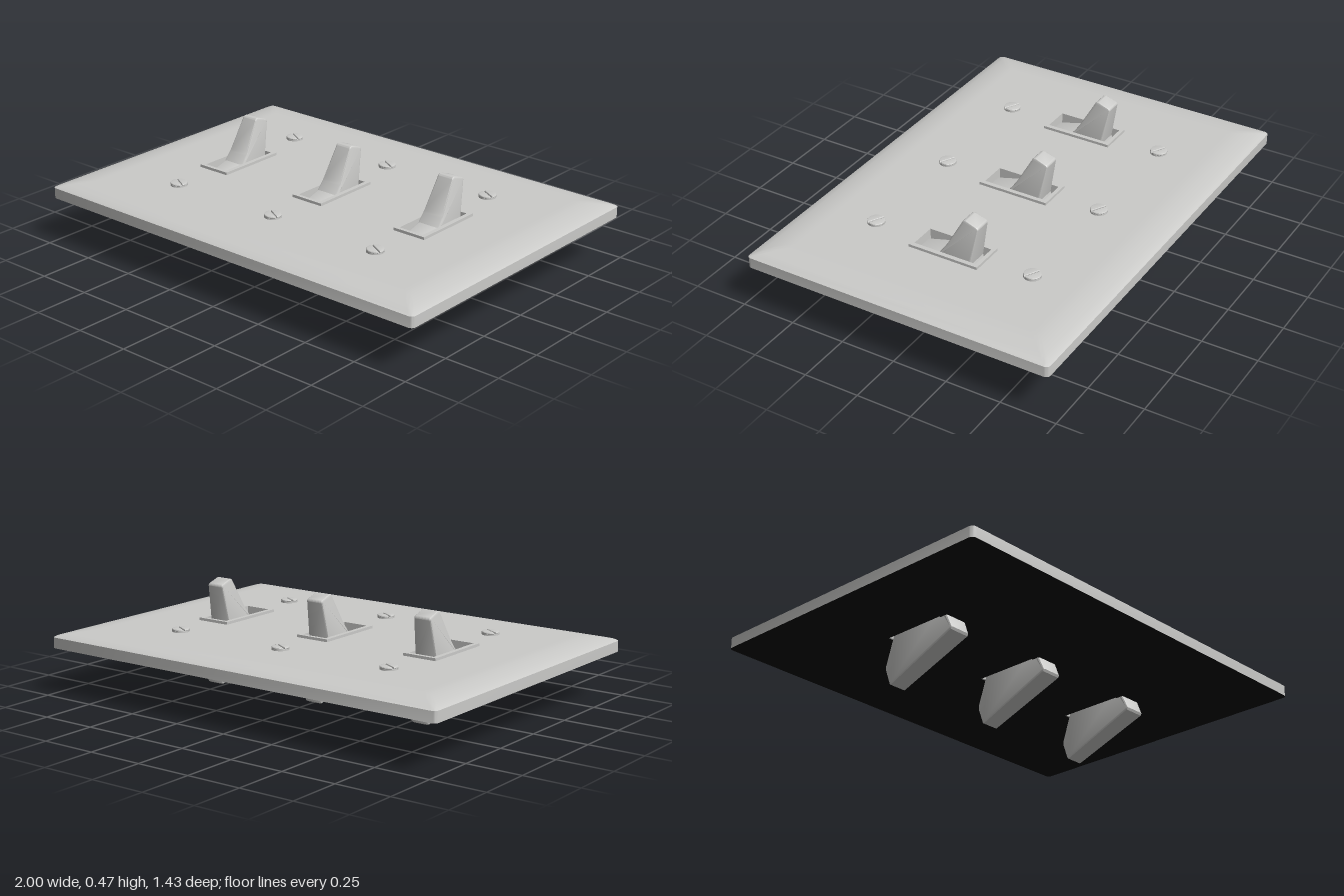
import * as THREE from 'three';
import { toCreasedNormals } from 'three/addons/utils/BufferGeometryUtils.js';

const BASE = 0.205, TOP = 0.28;
const COLUMNS = [-0.553, -0.002, 0.549];
const HOLE_X = 0.06, HOLE_Z = 0.148;

function rect(Type, cx, w, d) {
  return new Type().moveTo(cx - w, -d).lineTo(cx + w, -d).lineTo(cx + w, d).lineTo(cx - w, d).closePath();
}

// Rounded rectangle outline, inset from the plate edge
function outline(inset) {
  const r = 0.02, pts = [];
  const cx = 1 - r - inset, cz = 0.713 - r - inset;
  [[1, 1], [-1, 1], [-1, -1], [1, -1]].forEach(([sx, sz], q) => {
    for (let i = 0; i <= 4; i++) {
      const a = (q + i / 4) * Math.PI / 2;
      pts.push(new THREE.Vector2(sx * cx + r * Math.cos(a), sz * cz + r * Math.sin(a)));
    }
  });
  return pts;
}

// Plate rim and softly domed border, lofted through inset outlines
function rimGeometry(levels) {
  const pos = [], index = [];
  const n = outline(0).length;
  for (const [inset, y] of levels) for (const p of outline(inset)) pos.push(p.x, y, p.y);
  for (let k = 0; k < levels.length - 1; k++) {
    for (let i = 0; i < n; i++) {
      const a = k * n + i, b = k * n + (i + 1) % n;
      index.push(a, a + n, b, b, a + n, b + n);
    }
  }
  const g = new THREE.BufferGeometry();
  g.setAttribute('position', new THREE.Float32BufferAttribute(pos, 3));
  g.setIndex(index);
  return toCreasedNormals(g, 0.6);
}

// Flat sheet with the three switch openings
function sheet(inset, up) {
  const shape = new THREE.Shape(outline(inset));
  for (const x of COLUMNS) shape.holes.push(rect(THREE.Path, x, HOLE_X, HOLE_Z));
  return new THREE.ShapeGeometry(shape).rotateX(up ? -Math.PI / 2 : Math.PI / 2);
}

// Side profile (z, y) extruded across x, with its width varying with height
function taperedSolid(shape, halfWidth) {
  const b = 0.008, w = 0.055;
  const g = new THREE.ExtrudeGeometry(shape, {
    depth: 2 * (w - b), bevelEnabled: true, bevelSize: b, bevelThickness: b,
    bevelOffset: -b, bevelSegments: 2, curveSegments: 8,
  });
  g.translate(0, 0, -(w - b)).rotateY(-Math.PI / 2);
  const p = g.attributes.position;
  for (let i = 0; i < p.count; i++) p.setX(i, p.getX(i) * halfWidth(p.getY(i)) / w);
  return toCreasedNormals(g, 0.5);
}

export function createModel() {
  const model = new THREE.Group();
  model.name = 'tripleSwitchPlate';
  const grey = new THREE.MeshStandardMaterial({ color: 0xcbcbc9 });
  grey.name = 'lightGrey';
  const black = new THREE.MeshStandardMaterial({ color: 0x050505 });
  black.name = 'black';

  const add = (parent, name, geometry, material = grey) => {
    const mesh = new THREE.Mesh(geometry, material);
    mesh.name = name;
    parent.add(mesh);
    return mesh;
  };

  // Wall plate
  const plate = new THREE.Group();
  plate.name = 'plate';
  model.add(plate);
  add(plate, 'plateRim', rimGeometry([
    [0, BASE], [0, 0.253], [0.012, 0.26], [0.04, 0.268], [0.075, 0.275], [0.11, 0.279], [0.13, TOP], [0.15, TOP],
  ]));
  add(plate, 'plateFace', sheet(0.15, true)).position.y = TOP;
  add(plate, 'plateUnderside', sheet(0, false), black).position.y = BASE;

  // Raised opening frame, reaching down through the plate
  const frameShape = rect(THREE.Shape, 0, 0.08, 0.165);
  frameShape.holes.push(rect(THREE.Path, 0, HOLE_X, HOLE_Z));
  const frameGeo = new THREE.ExtrudeGeometry(frameShape, { depth: 0.082, bevelEnabled: false });
  frameGeo.rotateX(-Math.PI / 2).translate(0, 0.21, 0);

  // Switch lever above the plate
  const lever = new THREE.Shape();
  lever.moveTo(0.05, 0.262);
  lever.quadraticCurveTo(0.02, 0.295, -0.005, 0.335);
  lever.lineTo(-0.072, 0.456);
  lever.quadraticCurveTo(-0.077, 0.47, -0.09, 0.468);
  lever.lineTo(-0.138, 0.452);
  lever.quadraticCurveTo(-0.149, 0.448, -0.147, 0.438);
  lever.lineTo(-0.115, 0.262);
  lever.closePath();
  const leverGeo = taperedSolid(lever, y => 0.055 - 0.015 * Math.max(0, (y - 0.285) / 0.18));

  // Rocking body below the lever
  const body = new THREE.Shape([
    [0.21, 0.145], [0.185, 0.205], [0.15, 0.25], [0.03, 0.282], [-0.112, 0.282], [-0.13, 0.205],
    [-0.178, 0.09], [-0.178, 0.07], [-0.158, 0.006], [-0.148, 0], [0.205, 0.134],
  ].map(([z, y]) => new THREE.Vector2(z, y)));
  const bodyGeo = taperedSolid(body, y => 0.054 - 0.013 * Math.max(0, (0.205 - y) / 0.205));

  // Screw head: a low disc with two raised halves leaving a slot
  const discGeo = new THREE.CylinderGeometry(0.038, 0.038, 0.008, 32);
  const half = new THREE.Shape();
  const slot = Math.asin(0.004 / 0.038);
  half.absarc(0, 0, 0.038, slot, Math.PI - slot);
  half.closePath();
  const halfGeo = toCreasedNormals(new THREE.ExtrudeGeometry(half, {
    depth: 0.003, bevelEnabled: true, bevelSize: 0.006, bevelThickness: 0.004,
    bevelOffset: -0.006, bevelSegments: 2, curveSegments: 20,
  }).rotateX(-Math.PI / 2), 0.5);

  for (const x of COLUMNS) {
    const unit = new THREE.Group();
    unit.name = 'switchUnit';
    unit.position.x = x;
    model.add(unit);
    add(unit, 'openingFrame', frameGeo);
    add(unit, 'lever', leverGeo);
    add(unit, 'switchBody', bodyGeo);

    for (const z of [-0.379, 0.379]) {
      const screw = new THREE.Group();
      screw.name = 'screw';
      screw.position.set(0, TOP, z);
      screw.rotation.y = -0.5;
      unit.add(screw);
      add(screw, 'screwDisc', discGeo).position.y = 0.003;
      for (const turn of [0, Math.PI]) {
        const m = add(screw, 'screwHalf', halfGeo);
        m.position.y = 0.008;
        m.rotation.y = turn;
      }
    }
  }
  return model;
}
